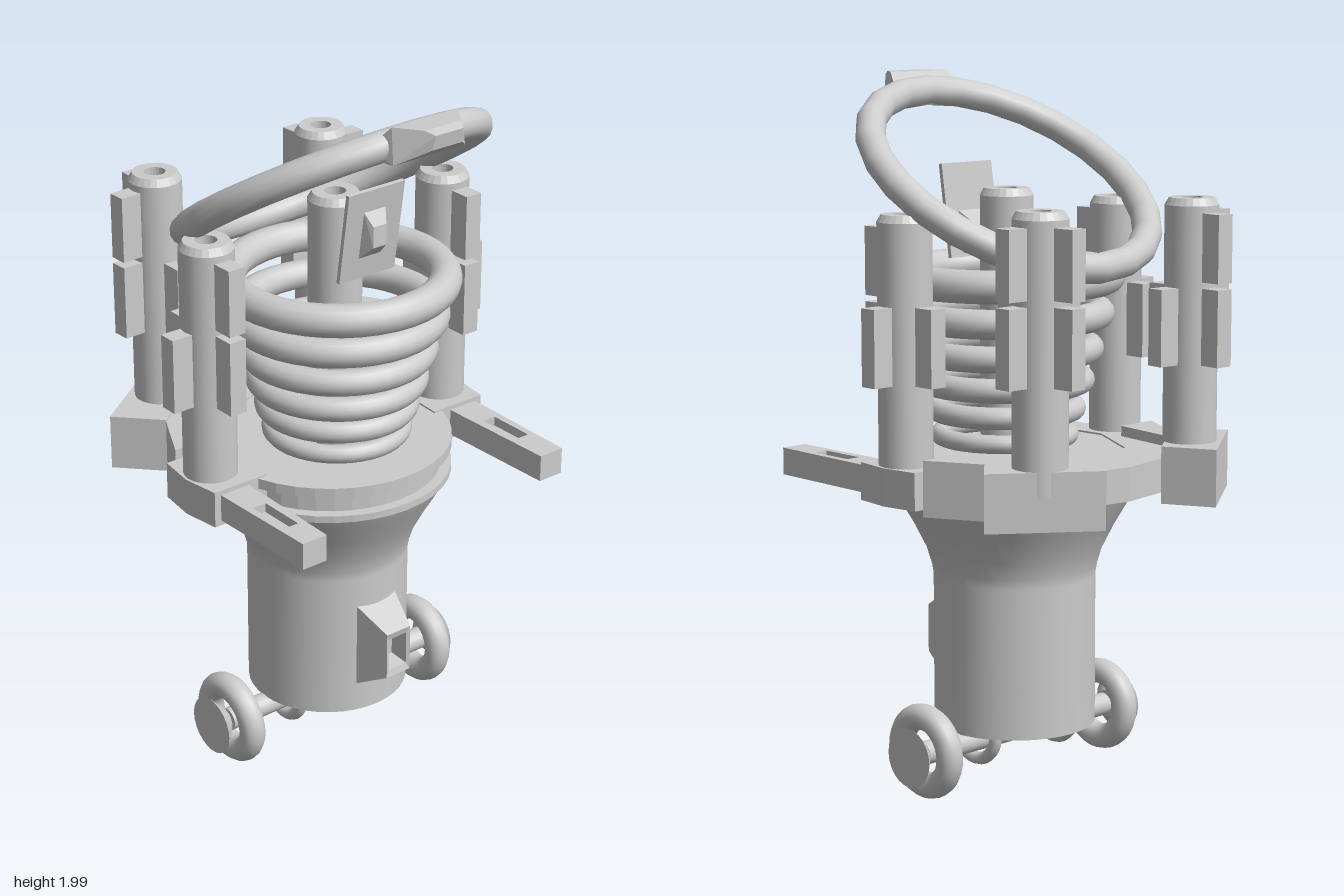
import * as THREE from 'three';
import { ConvexGeometry } from 'three/addons/geometries/ConvexGeometry.js';

const smooth = new THREE.MeshStandardMaterial({ color: 0xcccccc, side: THREE.DoubleSide });
const flat = new THREE.MeshStandardMaterial({ color: 0xcccccc, flatShading: true, side: THREE.DoubleSide });
const V = (x, y, z) => new THREE.Vector3(x, y, z);

export function createModel() {
  const model = new THREE.Group();

  function add(name, geometry, material, x = 0, y = 0, z = 0, parent = model) {
    const mesh = new THREE.Mesh(geometry, material);
    mesh.name = name;
    mesh.position.set(x, y, z);
    parent.add(mesh);
    return mesh;
  }
  // Horizontal plate from [x, z] corners, with an optional cut-out
  function slab(name, pts, y0, y1, hole) {
    const toV2 = ([x, z]) => new THREE.Vector2(x, -z);
    const shape = new THREE.Shape(pts.map(toV2));
    if (hole) shape.holes.push(new THREE.Path(hole.map(toV2)));
    const g = new THREE.ExtrudeGeometry(shape, { depth: y1 - y0, bevelEnabled: false });
    g.rotateX(-Math.PI / 2);
    return add(name, g, flat, 0, y0, 0);
  }
  const lathe = (pts, n = 32) => new THREE.LatheGeometry(pts.map(([r, y]) => new THREE.Vector2(r, y)), n);

  // Lower body: barrel that flares into a funnel
  add('body', lathe([[0.23, 0.17], [0.23, 0.6], [0.235, 0.63], [0.25, 0.68], [0.285, 0.75], [0.32, 0.81], [0.345, 0.86]], 40), smooth, 0.04);
  add('bodyBottom', new THREE.CylinderGeometry(0.23, 0.23, 0.01, 40), flat, 0.04, 0.175);
  add('deck', new THREE.CylinderGeometry(0.345, 0.345, 0.03, 40), flat, 0.045, 0.945);
  add('deckNeck', new THREE.CylinderGeometry(0.315, 0.315, 0.08, 40), flat, 0.045, 0.905);
  add('funnelRim', new THREE.CylinderGeometry(0.345, 0.345, 0.02, 40), flat, 0.045, 0.865);

  // Collar around the back of the deck
  slab('collar', [[0.15, -0.42], [-0.07, -0.44], [-0.25, -0.34], [-0.385, -0.15], [-0.41, 0],
    [-0.385, 0.15], [-0.25, 0.34], [-0.07, 0.44], [0.15, 0.42], [0.15, 0.3], [0, 0.31], [-0.2, 0.2],
    [-0.27, 0], [-0.2, -0.2], [0, -0.31], [0.15, -0.3]], 0.87, 0.965);

  // Corner blocks, side clamps and slotted arms, mirrored across z
  for (const s of [1, -1]) {
    slab('cornerBlock', [[-0.53, 0.215], [-0.34, 0.475], [-0.225, 0.365], [-0.39, 0.145]].map(([x, z]) => [x, s * z]), 0.84, 1.0);
    slab('blockLink', [[-0.3, 0.29], [-0.225, 0.365], [-0.07, 0.445], [-0.07, 0.32]].map(([x, z]) => [x, s * z]), 0.84, 0.995);
    slab('sideClamp', [[-0.07, 0.32], [-0.07, 0.475], [0.04, 0.49], [0.15, 0.475], [0.15, 0.34]].map(([x, z]) => [x, s * z]), 0.86, 0.965);
    const end = s > 0 ? 0.495 : 0.52;
    slab('arm', [[0.13, 0.36], [0.13, 0.455], [end, 0.447], [end, 0.368]].map(([x, z]) => [x, s * z]), 0.875, 0.952,
      [[0.26, 0.388], [0.4, 0.388], [0.4, 0.43], [0.26, 0.43]].map(([x, z]) => [x, s * z]));
    add('armSlotFloor', new THREE.BoxGeometry(0.15, 0.04, 0.05), flat, 0.33, 0.905, s * 0.409);
  }

  // Stack of coil rings widening upwards
  const coils = [[0.995, 0.21, 0.026], [1.07, 0.23, 0.031], [1.15, 0.255, 0.034],
    [1.24, 0.28, 0.037], [1.34, 0.31, 0.041], [1.445, 0.34, 0.046]];
  for (const [y, outer, tube] of coils) {
    const g = new THREE.TorusGeometry(outer - tube, tube, 14, 40);
    g.rotateX(Math.PI / 2);
    add('coilRing', g, smooth, 0.08, y, 0);
  }

  // Rods: chamfered top with a small bore
  function rod(name, x, z, top, parent = model) {
    const r = 0.075, h = top - 0.93;
    add(name, lathe([[r, 0], [r, h - 0.02]], 24), smooth, x, 0.93, z, parent);
    add(name + 'Cap', lathe([[r, h - 0.02], [r - 0.012, h], [0.03, h], [0.03, h - 0.05], [0, h - 0.05]], 24), flat, x, 0.93, z, parent);
  }
  rod('centreColumn', 0.07, 0, 1.69);

  // Pillars with fins; each fin is [angle from +x towards +z, has an upper half]
  function pillar(x, z, top, fins) {
    const g = new THREE.Group();
    g.name = 'pillar';
    model.add(g);
    rod('pillarRod', x, z, top, g);
    for (const [deg, upper] of fins) {
      const a = THREE.MathUtils.degToRad(deg);
      for (const y of upper ? [top - 0.35, top - 0.133] : [top - 0.35]) {
        const fin = add('pillarFin', new THREE.BoxGeometry(0.075, y < top - 0.2 ? 0.212 : 0.188, 0.052), flat,
          x + 0.095 * Math.cos(a), y, z + 0.095 * Math.sin(a), g);
        fin.rotation.y = -a;
      }
    }
  }
  for (const s of [1, -1]) {
    pillar(0.04, s * 0.407, 1.645, [[0, true], [180, false], [s * 90, false]]);
    pillar(-0.375, s > 0 ? 0.275 : -0.305, 1.675, [[180 + s * 4, true], [s * 88, true], [-s * 85, false], [0, false]]);
  }

  // Tilted hoop with its faceted tip
  const hoop = new THREE.TorusGeometry(0.415, 0.042, 14, 24);
  hoop.rotateX(Math.PI / 2);
  add('hoop', hoop, smooth, 0.055, 1.72, 0).rotation.z = 0.576;
  const tip = [];
  for (const s of [1, -1]) {
    tip.push(V(0.37, 1.935, s * 0.135), V(0.385, 1.905, s * 0.13), V(0.43, 2.0, s * 0.11), V(0.45, 1.905, s * 0.12),
      V(0.5, 2.0, s * 0.06), V(0.525, 1.99, s * 0.045), V(0.518, 1.95, s * 0.05));
  }
  add('hoopTip', new ConvexGeometry(tip), flat);

  // Upright plate beside the column with a bracket and knob
  const plate = add('uprightPlate', new THREE.BoxGeometry(0.012, 0.265, 0.19), flat, 0.22, 1.62, 0);
  plate.rotation.z = -0.15;
  const bracket = [], knob = [];
  for (const s of [1, -1]) {
    bracket.push(V(0.13, 1.5, s * 0.02), V(0.13, 1.56, s * 0.02), V(0.2, 1.5, s * 0.05), V(0.215, 1.62, s * 0.05));
    knob.push(V(0.215, 1.55, s * 0.037), V(0.235, 1.69, s * 0.037), V(0.258, 1.59, s * 0.022), V(0.258, 1.65, s * 0.022));
  }
  add('plateBracket', new ConvexGeometry(bracket), flat);
  add('plateKnob', new ConvexGeometry(knob), flat);

  // Side port: tapered frame around a recess, from nested rectangles [x, y0, y1, half z]
  const loops = [[0.245, 0.25, 0.52, 0.073], [0.36, 0.315, 0.455, 0.042], [0.355, 0.335, 0.435, 0.032], [0.3, 0.345, 0.425, 0.026]]
    .map(([x, a, b, w]) => [V(x, a, w), V(x, a, -w), V(x, b, -w), V(x, b, w)]);
  const tri = [];
  for (let i = 0; i < 3; i++) {
    for (let j = 0; j < 4; j++) {
      const k = (j + 1) % 4, p = loops[i], q = loops[i + 1];
      tri.push(p[j], p[k], q[k], p[j], q[k], q[j]);
    }
  }
  const f = loops[3];
  tri.push(f[0], f[1], f[2], f[0], f[2], f[3]);
  const port = new THREE.BufferGeometry().setFromPoints(tri);
  port.computeVertexNormals();
  add('sidePort', port, flat);

  // Axle, hangers and wheels
  const axle = new THREE.CylinderGeometry(0.033, 0.033, 0.72, 20);
  axle.rotateX(Math.PI / 2);
  add('axle', axle, smooth, 0.035, 0.14, 0);
  for (const s of [1, -1]) {
    add('axleHanger', new THREE.TorusGeometry(0.08, 0.018, 10, 28), smooth, 0.035, 0.165, s * 0.155);
    const wheel = add('wheel', new THREE.TorusGeometry(0.098, 0.037, 14, 32), smooth, 0.035, 0.145, s * 0.347);
    wheel.rotation.x = s * 0.03;
    const hub = new THREE.CylinderGeometry(0.085, 0.04, 0.045, 24);
    hub.rotateX(s * Math.PI / 2);
    add('hubCap', hub, flat, 0.03, 0.14, s * 0.393);
  }

  return model;
}
